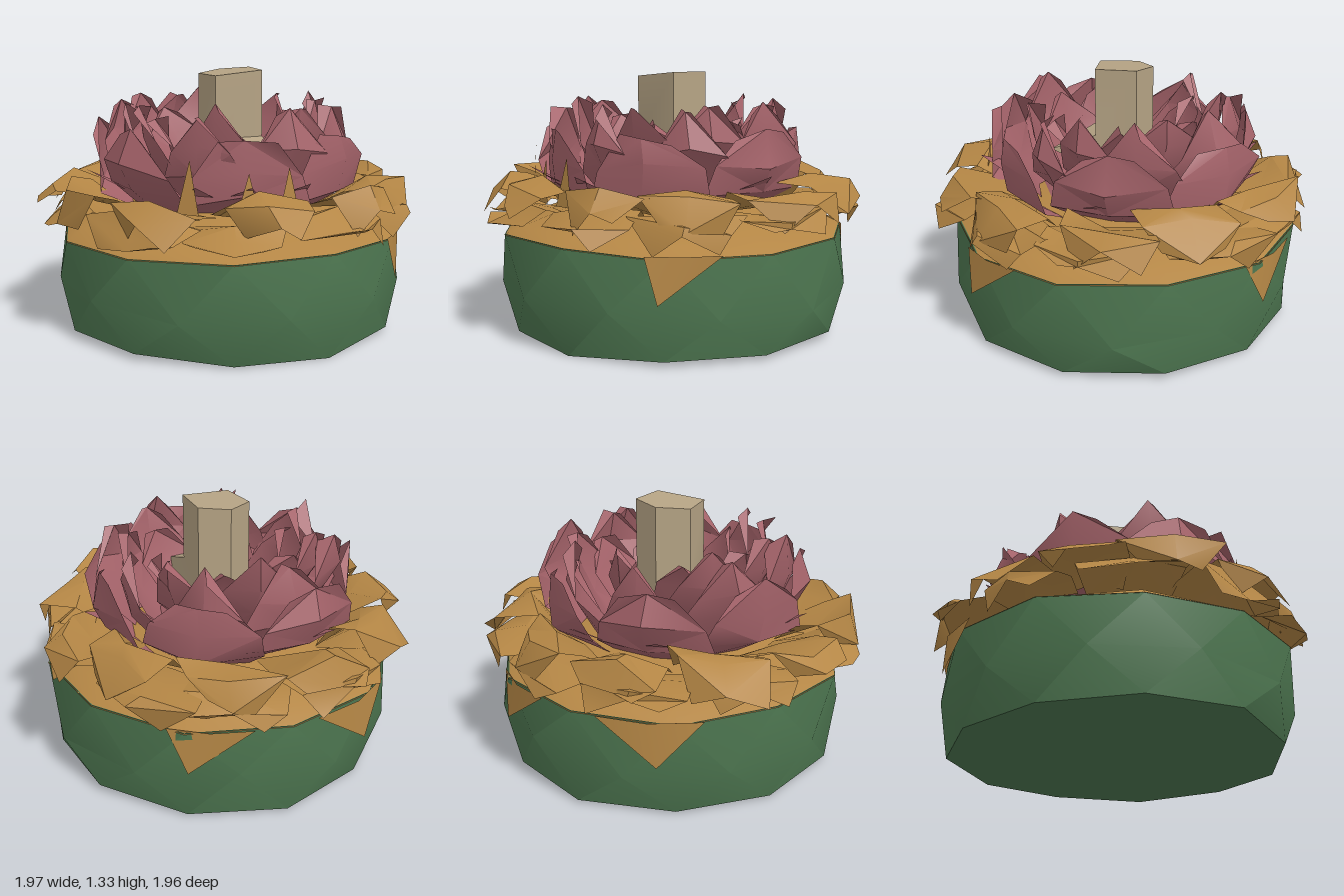
import * as THREE from 'three';
import { mergeGeometries, toCreasedNormals } from 'three/addons/utils/BufferGeometryUtils.js';

const mat = (name, color, side = THREE.FrontSide) =>
  Object.assign(new THREE.MeshStandardMaterial({ color, side }), { name });

// Small seeded generator for hand-cut irregularity, in -1..1
let seed = 7;
const rnd = () => {
  seed = (seed * 16807) % 2147483647;
  return (seed / 2147483647) * 2 - 1;
};

// Triangles from points, then creased normals
function faceted(points, index, crease) {
  const g = new THREE.BufferGeometry();
  g.setAttribute('position', new THREE.Float32BufferAttribute(points.flat(), 3));
  g.setIndex(index);
  return toCreasedNormals(g.toNonIndexed(), crease);
}

// Polar point around the y axis (angle 0 is the front)
const polar = (a, r, y) => [Math.sin(a) * r, y, Math.cos(a) * r];

// One crumpled petal: rows are [radius, height, half width], skew turns it like a pinwheel blade
function petal(angle, rows, { skew = 0, jitter = 0.03, bulge = 0.03 }) {
  const pts = [], index = [], cols = 3;
  rows.forEach(([r, y, w], j) => {
    for (let i = 0; i < cols; i++) {
      const u = i - 1, last = j === rows.length - 1;
      const rr = Math.min(0.995, r + u * skew + rnd() * jitter + (u ? 0 : bulge * 0.5));
      const yy = y + rnd() * jitter * (j ? 1.1 : 0.3) + (u ? 0 : last ? bulge : bulge * 0.5);
      pts.push(polar(angle + (u * w) / r + rnd() * jitter * 0.7, rr, yy));
    }
  });
  for (let j = 0; j < rows.length - 1; j++) {
    for (let i = 0; i < cols - 1; i++) {
      const a = j * cols + i, b = a + 1, c = a + cols, d = c + 1;
      if ((i + j) % 2) index.push(a, b, c, b, d, c);
      else index.push(a, b, d, a, d, c);
    }
  }
  return faceted(pts, index, 0.6);
}

// A full ring of petals
function petalRing(name, material, count, offset, rows, options) {
  const list = [];
  for (let k = 0; k < count; k++) {
    const a = offset + (k / count) * Math.PI * 2 + rnd() * 0.07;
    list.push(petal(a, rows, options));
  }
  const mesh = new THREE.Mesh(mergeGeometries(list), material);
  mesh.name = name;
  return mesh;
}

// Solid from closed loops (bottom to top) with flat caps
function loft(loops, crease) {
  const n = loops[0].length, pts = loops.flat(), index = [];
  for (let j = 0; j < loops.length - 1; j++) {
    for (let i = 0; i < n; i++) {
      const a = j * n + i, b = j * n + ((i + 1) % n), c = a + n, d = b + n;
      if (j % 2) index.push(a, b, d, a, d, c);
      else index.push(a, b, c, b, d, c);
    }
  }
  const cap = (loop, flip) => {
    const start = pts.length;
    const mid = [0, 1, 2].map((k) => loop.reduce((s, p) => s + p[k], 0) / n);
    pts.push(mid);
    const first = flip ? 0 : (loops.length - 1) * n;
    for (let i = 0; i < n; i++) {
      const a = first + i, b = first + ((i + 1) % n);
      index.push(...(flip ? [start, b, a] : [start, a, b]));
    }
  };
  cap(loops[0], true);
  cap(loops[loops.length - 1], false);
  return faceted(pts, index, crease);
}

export function createModel() {
  seed = 7;
  const green = mat('green', 0x4d7650);
  const gold = mat('gold', 0xb48645, THREE.DoubleSide);
  const pink = mat('pink', 0xa5636a, THREE.DoubleSide);
  const tan = mat('tan', 0xb5a384);
  const model = new THREE.Group();
  const add = (name, geometry, material) => {
    const mesh = new THREE.Mesh(geometry, material);
    mesh.name = name;
    model.add(mesh);
    return mesh;
  };

  // Cut drum base, a little off centre
  const N = 11;
  const loop = (r, y, turn, jr, jy) =>
    Array.from({ length: N }, (_, i) => {
      const p = polar(((i + turn) / N) * Math.PI * 2, r + rnd() * jr, Math.max(0, y + rnd() * jy));
      return [p[0] + 0.02, p[1], p[2]];
    });
  const rim = loop(0.9, 0.51, 0.3, 0.015, 0.015);
  const bottom = loop(0.865, 0.02, 0.3, 0.015, 0.02);
  bottom[0][1] = 0;
  add('base', loft([bottom, loop(0.91, 0.25, 0.8, 0.012, 0.05), rim], 0.5), green);

  // Collar lying on the rim, sloping inwards
  const scaled = (s, y) => rim.map(([x, , z]) => [x * s, y, z * s]);
  const edge = rim.map(([x, y, z]) => [x * 1.004, y - 0.004, z * 1.004]);
  add('collar', loft([edge, scaled(0.9, 0.555), scaled(0.55, 0.66)], 0.5), gold);

  // Pointed tabs folded down over the rim: [start, tip, end] angles
  [[0.66, 0.73, 1.06], [2.34, 2.46, 2.8], [3.15, 3.48, 3.72]].forEach(([from, tip, to], k) => {
    const mid = (from + to) / 2;
    const pts = [polar(from, 0.91, 0.52), polar(tip, 0.94, 0.3), polar(to, 0.91, 0.52), polar(mid, 0.92, 0.52)];
    add('tab' + (k + 1), faceted(pts, [0, 1, 3, 3, 1, 2], 0.7), gold);
  });

  // Drooping gold outer petals, in two overlapping layers
  model.add(petalRing('lowerGoldPetals', gold, 10, 0.25,
    [[0.6, 0.62, 0.2], [0.78, 0.67, 0.27], [0.9, 0.64, 0.25], [0.95, 0.57, 0.15]],
    { skew: 0.03, jitter: 0.05, bulge: 0.03 }));
  model.add(petalRing('upperGoldPetals', gold, 11, 0.35,
    [[0.58, 0.66, 0.17], [0.73, 0.75, 0.23], [0.86, 0.75, 0.22], [0.94, 0.64, 0.14]],
    { skew: 0.045, jitter: 0.055, bulge: 0.035 }));

  // Upright gold slivers against the front of the flower
  [[-0.67, 0.96], [0, 0.92], [-0.28, 0.9]].forEach(([a, top], k) => {
    const pts = [polar(a - 0.08, 0.73, 0.68), polar(a + 0.08, 0.73, 0.68), polar(a + 0.01, 0.71, top)];
    add('goldSliver' + (k + 1), faceted(pts, [0, 1, 2], 0.5), gold);
  });

  // Pink flower: nested cups of broad pointed petals, opening outwards like a pinwheel
  const cups = [
    [7, 0.62, [[0.48, 0.64, 0.22], [0.65, 0.74, 0.31], [0.68, 0.88, 0.28], [0.66, 1.02, 0.13]], 0.03],
    [8, 0.1, [[0.42, 0.66, 0.16], [0.55, 0.83, 0.24], [0.59, 0.96, 0.17], [0.55, 1.13, 0.015]], 0.06],
    [7, 0.35, [[0.28, 0.68, 0.13], [0.41, 0.84, 0.23], [0.48, 0.99, 0.17], [0.48, 1.15, 0.015]], 0.06],
    [6, 0.52, [[0.2, 0.7, 0.1], [0.28, 0.82, 0.18], [0.34, 0.95, 0.15], [0.38, 1.07, 0.02]], 0.05],
  ];
  cups.forEach(([n, offset, rows, skew], k) =>
    model.add(petalRing('pinkPetals' + (k + 1), pink, n, offset, rows, { skew, jitter: 0.024, bulge: 0.03 })));
  const floor = add('flowerFloor', new THREE.CylinderGeometry(0.3, 0.5, 0.16, 10), pink);
  floor.position.y = 0.68;

  // Loose pink leaves resting on the gold ring
  [-0.65, -0.3, 0.1, 1.45, 2.8, 3.42, 4.6].forEach((a, k) => {
    const pts = [polar(a - 0.2, 0.58, 0.74), polar(a + 0.2, 0.58, 0.74), polar(a + 0.04, 0.75, 0.84)];
    add('looseLeaf' + (k + 1), faceted(pts, [0, 1, 2], 0.5), pink);
  });

  // Five-sided centre stem with one root spreading at the front
  const section = [[-0.115, 0.13], [0.15, 0.13], [0.175, -0.08], [0.03, -0.155], [-0.125, -0.07]];
  const ringAt = (y, slope = 0) => section.map(([x, z]) => [x, y + x * slope, z]);
  const root = ringAt(0.72);
  root[1] = [0.15, 0.9, 0.36];
  add('stem', loft([root, ringAt(0.98), ringAt(1.313, 0.08)], 0.9), tan);

  return model;
}
